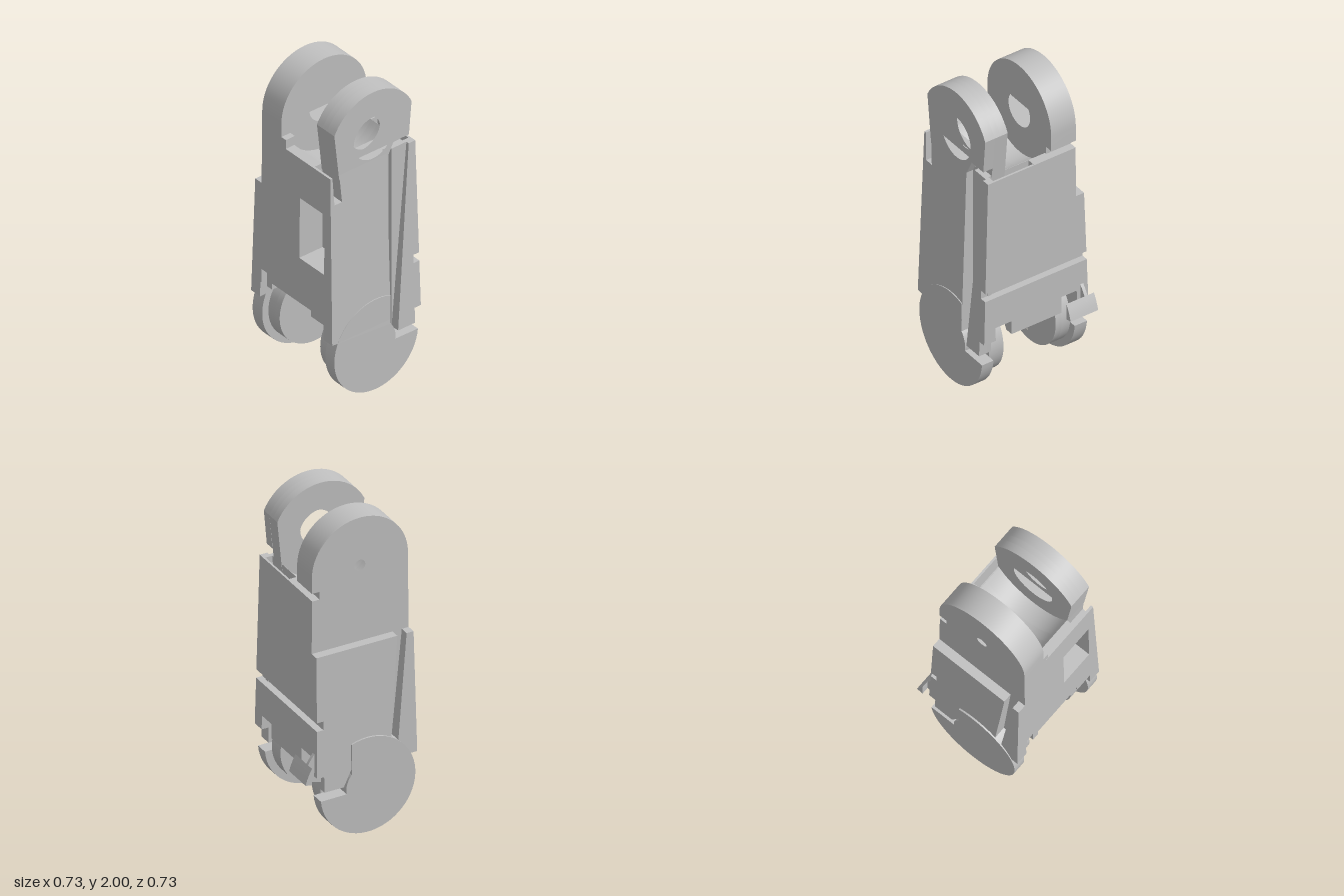
import * as THREE from 'three';
import { toCreasedNormals } from 'three/addons/utils/BufferGeometryUtils.js';

const TOP = { z: 0.04, y: 1.69 }, LOW = { z: 0.045, y: 0.305 };

// Points of an arc in the side plane, as [z, y]; angles in degrees from +z.
function arc(c, r, a0, a1) {
  const n = Math.max(3, Math.ceil(Math.abs(a1 - a0) / 6)), pts = [];
  for (let i = 0; i <= n; i++) {
    const a = THREE.MathUtils.degToRad(a0 + (a1 - a0) * i / n);
    pts.push([c.z + r * Math.cos(a), c.y + r * Math.sin(a)]);
  }
  return pts;
}
const circle = (c, r) => arc(c, r, 0, 354);
const toVec = pts => pts.map(([z, y]) => new THREE.Vector2(-z, y));
const sideX = y => 0.325 + 0.0315 * (1.54 - y);
const frontZ = y => 0.365 - 0.013 * (y - 0.43);
const backZ = y => -0.28 + 0.011 * (y - 0.43);
// Angle at which the hollow underside reaches height y
const hollowAngle = y => THREE.MathUtils.radToDeg(Math.asin(Math.min(1, (y - LOW.y) / 0.3)));

export function createModel() {
  const model = new THREE.Group();
  model.name = 'linkArm';
  const grey = new THREE.MeshStandardMaterial({ color: 0xc0c0c0 });
  grey.name = 'grey';

  // Extrude a side profile from x0 to x1; taper = +1 or -1 slopes that outer face.
  function slab(name, pts, x0, x1, holes = [], taper = 0) {
    const shape = new THREE.Shape(toVec(pts));
    holes.forEach(h => shape.holes.push(new THREE.Path(toVec(h))));
    let geo = new THREE.ExtrudeGeometry(shape, { depth: x1 - x0, bevelEnabled: false });
    geo.rotateY(Math.PI / 2).translate(x0, 0, 0);
    if (taper) {
      const p = geo.attributes.position, mid = (x0 + x1) / 2;
      for (let i = 0; i < p.count; i++)
        if ((p.getX(i) - mid) * taper > 0) p.setX(i, taper * sideX(p.getY(i)));
      geo.computeVertexNormals();
    }
    geo = toCreasedNormals(geo, 0.4);
    const mesh = new THREE.Mesh(geo, grey);
    mesh.name = name;
    model.add(mesh);
  }
  function box(name, x0, x1, y0, y1, z0, z1) {
    const mesh = new THREE.Mesh(new THREE.BoxGeometry(x1 - x0, y1 - y0, z1 - z0), grey);
    mesh.position.set((x0 + x1) / 2, (y0 + y1) / 2, (z0 + z1) / 2);
    mesh.name = name;
    model.add(mesh);
  }

  // Side outline of the body: front, top, grooved back and hollow underside
  const openSlot = [[0.335, 1.54], [0.325, 1.355], [0.27, 1.355], [0.285, 1.54]];
  const closedSlot = [[0.335, 1.44], [0.28, 1.44], [0.27, 1.355], [0.325, 1.355]];
  const backGap = [[-0.21, 1.54], [-0.205, 1.38], [-0.252, 1.38], [-0.255, 1.54]];
  const backEdge = [[backZ(1.54), 1.54], [backZ(0.785), 0.785], [-0.235, 0.785],
    [-0.235, 0.73], [backZ(0.73), 0.73]];
  function bodyProfile({ front, back = 0.43, saddle, slot, gap, pocket }) {
    const pts = [[frontZ(front), front]];
    if (pocket) pts.push([frontZ(0.87), 0.87], [0.19, 0.87], [0.19, 1.275], [frontZ(1.275), 1.275]);
    pts.push([frontZ(1.54), 1.54]);
    if (slot) pts.push(...openSlot);
    if (saddle) pts.push(...arc(TOP, 0.29, -31.1, -148.9));
    if (gap) pts.push(...backGap);
    pts.push(...backEdge, [backZ(back), back]);
    const hollow = arc(LOW, 0.3, 180 - hollowAngle(back), hollowAngle(front));
    pts.push(...hollow, [hollow.at(-1)[0], front]);
    return pts;
  }

  // Body, in strips across its width
  [
    { x: [-0.28, -0.27], front: 0.53, back: 0.54, wall: true },
    { x: [-0.27, -0.22], front: 0.62, back: 0.54 },
    { x: [-0.22, -0.175], front: 0.53, back: 0.54 },
    { x: [-0.175, -0.11], front: 0.57 },
    { x: [-0.11, 0.005], front: 0.57, saddle: true },
    { x: [0.005, 0.06], front: 0.57, saddle: true, gap: true },
    { x: [0.06, 0.17], front: 0.57, saddle: true, gap: true, pocket: true },
    { x: [0.17, 0.28], front: 0.53, back: 0.52, slot: true, gap: true, pocket: true },
  ].forEach(s => slab('body', bodyProfile(s), ...s.x, s.slot || s.wall ? [] : [closedSlot]));
  box('frontStep', -0.11, -0.07, 1.5, 1.6, 0.285, 0.35);
  box('innerLedge', 0, 0.17, 0.49, 0.53, -0.24, -0.13);

  // Side skins with their grooves
  slab('leftSkin', [[0.365, 0.43], [frontZ(1.54), 1.54], ...openSlot,
    [-0.06, 1.54], [-0.06, 0.4]], 0.28, 0.325, [], 1);
  slab('leftMiddlePlate', [[-0.11, 1.54], [-0.25, 1.54], [-0.235, 0.33], [-0.11, 0.33]], 0.28, 0.305);
  slab('leftRearPlate', [[-0.22, 1.54], ...backEdge, [-0.28, 0.43], [-0.235, 0.43],
    [-0.235, 0.33], [-0.112, 0.33]], 0.28, 0.325, [], 1);
  slab('rightSkin', [[0.25, 1.2], [backZ(1.2), 1.2], ...backEdge.slice(1), [-0.28, 0.43],
    [-0.235, 0.43], [-0.235, 0.33], [-0.11, 0.33], [-0.06, 0.43], [0.19, 0.43]],
  -0.325, -0.28, [], -1);
  slab('rightFrontStrip', [[frontZ(1.2), 1.2], [0.31, 1.2], [0.235, 0.43], [0.365, 0.43]],
    -0.325, -0.28, [], -1);

  // Upper lugs: the right one has a deep bore behind a thin drilled wall
  const rightLug = [[0.3, 1.5], [frontZ(1.54), 1.54], ...arc(TOP, 0.31, 0, 180),
    [-0.27, 1.59], [-0.22, 1.59], [-0.22, 1.5]];
  slab('rightUpperLug', rightLug, -0.28, -0.27, [circle(TOP, 0.035)]);
  slab('rightUpperLug', rightLug, -0.27, -0.11, [circle(TOP, 0.105)]);
  // The left one is planed on both flanks and counterbored from both faces
  const leftLug = [[0.285, 1.5], ...arc(TOP, 0.31, 25, 155)];
  const leftLugInner = [...leftLug, [-0.21, 1.5]];
  slab('leftUpperLug', leftLugInner, 0.17, 0.22, [circle(TOP, 0.14)]);
  slab('leftUpperLug', leftLugInner, 0.22, 0.26, [circle(TOP, 0.105)]);
  slab('leftUpperLug', [...leftLug, [-0.222, 1.6], [-0.11, 1.6], [-0.06, 1.5]],
    0.26, 0.325, [circle(TOP, 0.14)]);

  // Lower lugs: a wide outer ring open at the back, and a smaller inner ring
  const openRing = [...arc(LOW, 0.305, -175, 110), ...arc(LOW, 0.14, 138.6, 190)];
  slab('leftLowerRing', openRing, 0.28, 0.36);
  slab('leftInnerRing', circle(LOW, 0.26), 0.18, 0.28, [circle(LOW, 0.14)]);
  slab('rightLowerRing', openRing, -0.365, -0.28);
  slab('rightInnerRing', circle(LOW, 0.26), -0.28, -0.22, [circle(LOW, 0.14)]);
  slab('rightInnerRing', circle(LOW, 0.26), -0.22, -0.18, [circle(LOW, 0.2)]);

  // Curved catch at the back, on a narrow stem
  slab('catch', [...arc(LOW, 0.42, 150.3, 165), [-0.32, 0.405]], -0.37, -0.18);
  slab('catchStem', [...arc(LOW, 0.42, 140, 165), ...arc(LOW, 0.29, 165, 140)], -0.325, -0.305);

  return model;
}
